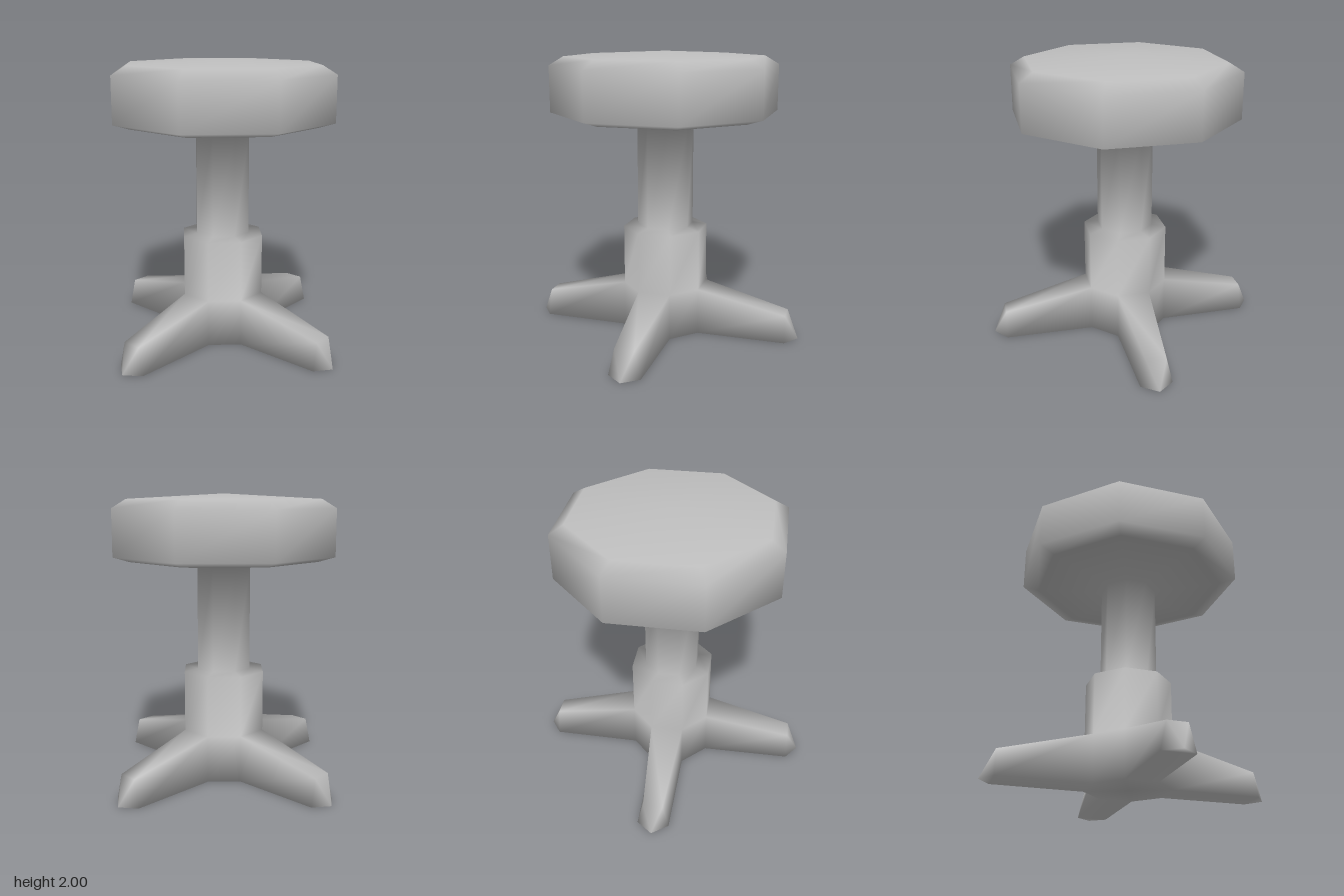
import * as THREE from 'three';

const GREY = new THREE.MeshStandardMaterial({ color: 0xc0c0c0 });
GREY.name = 'plainGrey';

export function createModel() {
  const points = [];
  const parts = { base: [], legs: [], column: [], seat: [] };

  const vertex = (x, y, z) => points.push(x, y, z) / 3 - 1;
  const tri = (part, a, b, c) => parts[part].push(a, b, c);
  const quad = (part, a, b, c, d) => { tri(part, a, b, c); tri(part, a, c, d); };

  // Octagon ring with flat sides facing the four axes; half = distance to a side
  const ring = (half, y) => Array.from({ length: 8 }, (_, k) => {
    const a = (k - 0.5) * Math.PI / 4;
    const r = half / Math.cos(Math.PI / 8);
    return vertex(r * Math.cos(a), y, -r * Math.sin(a));
  });
  // Wall between two rings, leaving out the axis sides when legs attach there
  const wall = (part, low, high, diagonalsOnly = false) => {
    for (let k = 0; k < 8; k++) {
      const n = (k + 1) % 8;
      if (diagonalsOnly && k % 2 === 0) continue;
      quad(part, low[k], low[n], high[n], high[k]);
    }
  };

  // Hub of the base
  const floor = ring(0.277, 0);
  const legTop = ring(0.277, 0.33);
  const hubTop = ring(0.277, 0.76);
  const columnFoot = ring(0.183, 0.775);
  const under = vertex(0, 0, 0);
  wall('base', floor, legTop, true);
  wall('base', legTop, hubTop);
  wall('base', hubTop, columnFoot);
  for (let k = 0; k < 8; k++) tri('base', under, floor[(k + 1) % 8], floor[k]);

  // Four tapering legs with pointed toes
  for (let i = 0; i < 4; i++) {
    const a = i * Math.PI / 2, c = Math.cos(a), s = Math.sin(a);
    const at = (out, y, side) => vertex(out * c - side * s, y, -out * s - side * c);
    const k = 2 * i;
    const [b0, b1, t0, t1] = [floor[k], floor[k + 1], legTop[k], legTop[k + 1]];
    const eb0 = at(0.9, 0, -0.11), eb1 = at(0.9, 0, 0.11);
    const et0 = at(0.895, 0.185, -0.068), et1 = at(0.895, 0.185, 0.068);
    const toe = at(0.982, 0, 0);
    quad('legs', t0, et0, et1, t1);
    quad('legs', b0, eb0, et0, t0);
    quad('legs', eb1, b1, t1, et1);
    quad('legs', b0, b1, eb1, eb0);
    tri('legs', eb0, toe, et0);
    tri('legs', et0, toe, et1);
    tri('legs', toe, eb1, et1);
    tri('legs', eb0, eb1, toe);
  }

  // Column
  const columnHead = ring(0.183, 1.503);
  wall('column', columnFoot, columnHead);

  // Bevelled cushion with a slightly domed top
  let last = columnHead;
  for (const [half, y] of [[0.63, 1.55], [0.7375, 1.585], [0.7375, 1.905], [0.645, 1.965]]) {
    const next = ring(half, y);
    wall('seat', last, next);
    last = next;
  }
  const crown = vertex(0, 2, 0);
  for (let k = 0; k < 8; k++) tri('seat', last[k], last[(k + 1) % 8], crown);

  // Smooth normals shared by the whole body, then one mesh per part
  const whole = new THREE.BufferGeometry();
  whole.setAttribute('position', new THREE.Float32BufferAttribute(points, 3));
  whole.setIndex(Object.values(parts).flat());
  whole.computeVertexNormals();

  const group = new THREE.Group();
  group.name = 'stool';
  for (const [name, index] of Object.entries(parts)) {
    whole.setIndex(index);
    const mesh = new THREE.Mesh(whole.toNonIndexed(), GREY);
    mesh.name = name;
    mesh.position.set(0.005, 0, -0.008);
    group.add(mesh);
  }
  return group;
}
